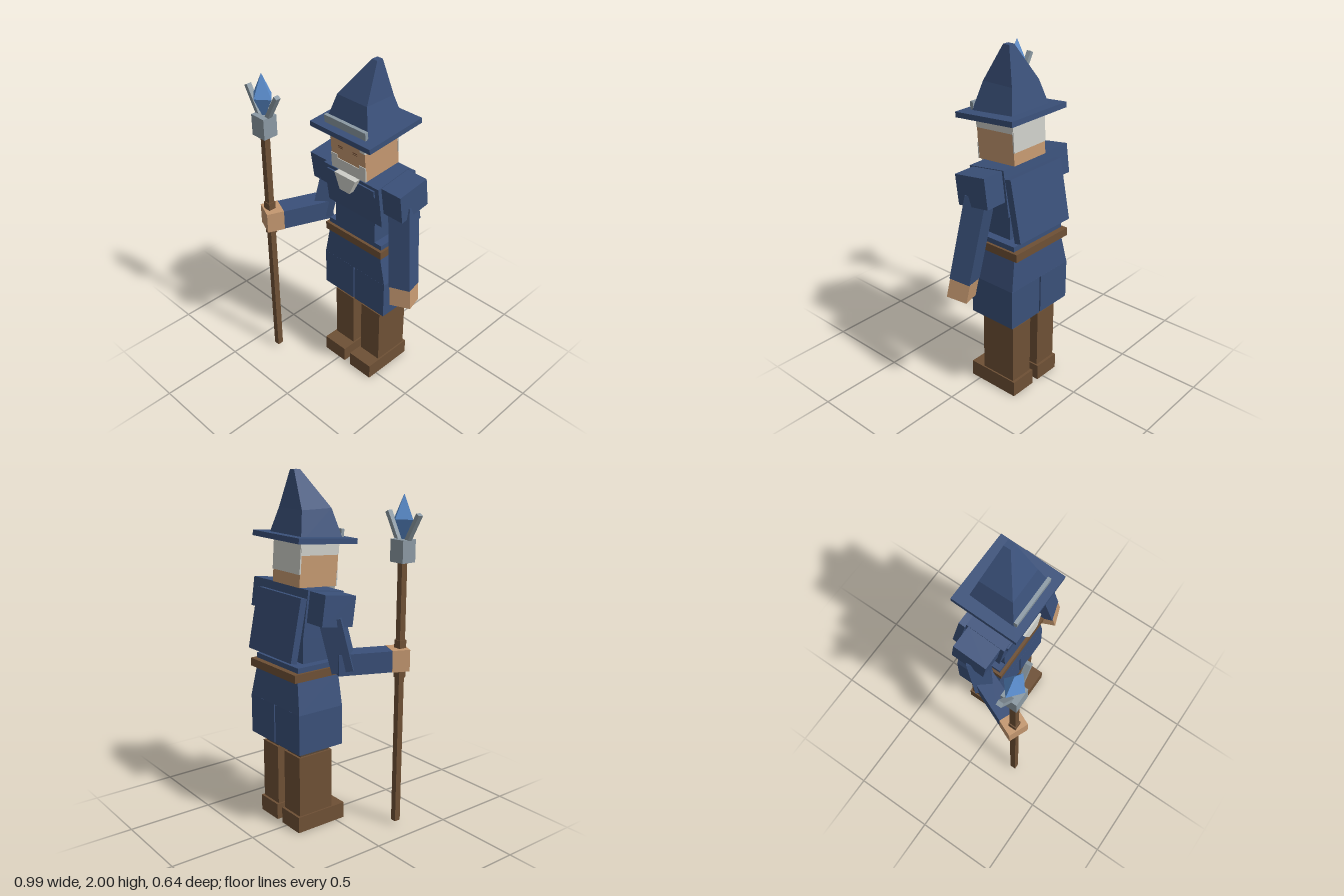
import * as THREE from 'three';

const mat = (name, color) => {
  const m = new THREE.MeshStandardMaterial({ color });
  m.name = name;
  return m;
};

// Stacked rectangles, bottom to top, each [y, x0, x1, z0, z1]
function loft(sections) {
  const rings = sections.map(([y, x0, x1, z0, z1]) => [[x0, y, z1], [x1, y, z1], [x1, y, z0], [x0, y, z0]]);
  const pos = [];
  const quad = (a, b, c, d) => pos.push(...a, ...b, ...c, ...a, ...c, ...d);
  for (let s = 0; s < rings.length - 1; s++) {
    for (let i = 0; i < 4; i++) {
      const j = (i + 1) % 4;
      quad(rings[s][i], rings[s][j], rings[s + 1][j], rings[s + 1][i]);
    }
  }
  const lo = rings[0], hi = rings[rings.length - 1];
  quad(hi[0], hi[1], hi[2], hi[3]);
  quad(lo[3], lo[2], lo[1], lo[0]);
  const g = new THREE.BufferGeometry();
  g.setAttribute('position', new THREE.Float32BufferAttribute(pos, 3));
  g.computeVertexNormals();
  return g;
}

export function createModel() {
  const model = new THREE.Group();
  model.name = 'wizard';
  const navy = mat('navy cloth', 0x3a5079);
  const brown = mat('brown leather', 0x6e5035);
  const darkBrown = mat('dark trousers', 0x54463a);
  const skin = mat('skin', 0xc49870);
  const white = mat('white hair', 0xcdcec8);
  const grey = mat('grey metal', 0x8b99a3);
  const blue = mat('blue crystal', 0x5c90d2);
  const eyeBrown = mat('eye brown', 0x6a4630);

  const add = (name, geo, material, parent = model) => {
    const m = new THREE.Mesh(geo, material);
    m.name = name;
    parent.add(m);
    return m;
  };
  // Box given by its centre and size
  const box = (name, material, [x, y, z], [w, h, d], parent = model) => {
    const m = add(name, new THREE.BoxGeometry(w, h, d), material, parent);
    m.position.set(x, y, z);
    return m;
  };
  // Box stretched between two points
  const bar = (name, material, a, b, w, d) => {
    const p = new THREE.Vector3(...a), q = new THREE.Vector3(...b);
    const m = box(name, material, [0, 0, 0], [w, p.distanceTo(q), d]);
    m.position.copy(p).add(q).multiplyScalar(0.5);
    m.quaternion.setFromUnitVectors(new THREE.Vector3(0, 1, 0), q.sub(p).normalize());
    return m;
  };
  const CX = 0.07; // body centre line

  // Legs, boots and robe halves
  for (const s of [-1, 1]) {
    const side = s > 0 ? 'left' : 'right';
    const x = CX + s * 0.106;
    box(side + 'Foot', brown, [x, 0.0475, -0.1025], [0.165, 0.095, 0.325]);
    box(side + 'Boot', brown, [x, 0.27, -0.138], [0.147, 0.36, 0.224]);
    box(side + 'Trouser', darkBrown, [x, 0.48, -0.138], [0.122, 0.08, 0.196]);
    box(side + 'RobeSkirt', navy, [CX + s * 0.12, 0.61, -0.143], [0.23, 0.23, 0.295]);
  }

  // Robe hip, belt and waist
  add('robeHip', loft([[0.725, -0.165, 0.305, -0.29, 0.004], [0.91, -0.127, 0.267, -0.272, 0.004]]), navy);
  box('belt', brown, [CX, 0.928, -0.1425], [0.43, 0.046, 0.32]);
  box('robeHem', navy, [CX, 0.962, -0.135], [0.4, 0.036, 0.27]);
  box('waist', navy, [CX, 1.06, -0.1], [0.3, 0.2, 0.2]);

  // Forward-leaning chest, collar and shoulders
  const chest = new THREE.Group();
  chest.name = 'upperBody';
  chest.position.set(CX, 1.253, -0.1);
  chest.rotation.x = 0.14;
  model.add(chest);
  box('chest', navy, [0, 0, 0], [0.405, 0.256, 0.24], chest);
  box('collar', navy, [0, 0.085, 0.121], [0.345, 0.045, 0.015], chest);
  for (const s of [-1, 1]) {
    box(s > 0 ? 'leftShoulder' : 'rightShoulder', navy, [s * 0.268, 0.04, -0.005], [0.134, 0.168, 0.205], chest);
  }
  const cape = box('cape', navy, [CX, 1.184, -0.266], [0.41, 0.35, 0.04]);
  cape.rotation.x = 0.2;

  // Hanging left arm
  bar('leftArm', navy, [0.335, 1.25, -0.097], [0.41, 0.768, -0.041], 0.12, 0.125);
  bar('leftHand', skin, [0.41, 0.768, -0.041], [0.427, 0.66, -0.029], 0.118, 0.123);

  // Bent right arm holding the staff
  bar('rightUpperArm', navy, [-0.2, 1.25, -0.1], [-0.23, 0.96, -0.035], 0.11, 0.12);
  const arm = new THREE.Group();
  arm.name = 'rightLowerArm';
  arm.position.set(-0.347, 0.997, 0.245);
  arm.rotation.y = -0.4;
  model.add(arm);
  box('rightForearm', navy, [0, 0, -0.2], [0.118, 0.118, 0.3], arm);
  box('rightHand', skin, [0, 0, 0], [0.12, 0.122, 0.1], arm);

  // Head with hair and beard plates
  const head = new THREE.Group();
  head.name = 'head';
  head.position.set(CX - 0.003, 1.512, -0.072);
  head.rotation.x = 0.07;
  model.add(head);
  box('face', skin, [0, 0, 0], [0.25, 0.25, 0.25], head);
  box('backHair', white, [0, 0.035, -0.125], [0.252, 0.18, 0.008], head);
  box('frontHair', white, [0, 0.103, 0.125], [0.252, 0.045, 0.006], head);
  box('frontHairLock', white, [0.108, 0.065, 0.125], [0.036, 0.035, 0.006], head);
  for (const s of [-1, 1]) {
    box('sideHair', white, [s * 0.125, 0.086, 0], [0.006, 0.08, 0.252], head);
    box('eye', eyeBrown, [s * 0.053, 0.019, 0.125], [0.032, 0.014, 0.004], head);
    box('eyelid', skin, [s * 0.053, 0.019, 0.126], [0.032, 0.005, 0.004], head);
    box('sideWhisker', white, [s * 0.104, -0.05, 0.125], [0.044, 0.026, 0.006], head);
  }
  box('beard', white, [0, -0.092, 0.125], [0.252, 0.068, 0.007], head);
  add('beardTip', loft([[1.285, 0.035, 0.107, 0.052, 0.083], [1.375, -0.008, 0.147, 0.04, 0.08]]), white);

  // Pointed hat with brim and band
  const brim = box('hatBrim', navy, [CX, 1.643, -0.075], [0.43, 0.03, 0.39]);
  brim.rotation.x = 0.085;
  add('hatCrown', loft([
    [1.64, -0.085, 0.22, -0.212, 0.064],
    [1.8, -0.037, 0.173, -0.17, 0.026],
    [2.0, 0.1, 0.137, -0.12, -0.08],
  ]), navy);
  const band = box('hatBand', grey, [CX - 0.002, 1.667, 0.069], [0.295, 0.046, 0.02]);
  band.rotation.x = 0.085;

  // Staff with grips, metal head, prongs and crystal
  const SX = -0.355, SZ = 0.255;
  box('staff', brown, [SX, 0.775, SZ], [0.034, 1.51, 0.037]);
  for (const y of [0.912, 1.08]) box('staffGrip', brown, [SX, y, SZ], [0.046, 0.045, 0.046]);
  box('staffHead', grey, [SX, 1.59, SZ], [0.098, 0.122, 0.09]);
  for (const s of [-1, 1]) {
    bar('staffProng', grey, [SX + s * 0.032, 1.64, SZ], [SX + s * 0.117, 1.788, SZ], 0.024, 0.03);
  }
  const crystal = add('crystal', new THREE.OctahedronGeometry(1), blue);
  crystal.scale.set(0.072, 0.13, 0.06);
  crystal.position.set(SX, 1.757, SZ);

  return model;
}
